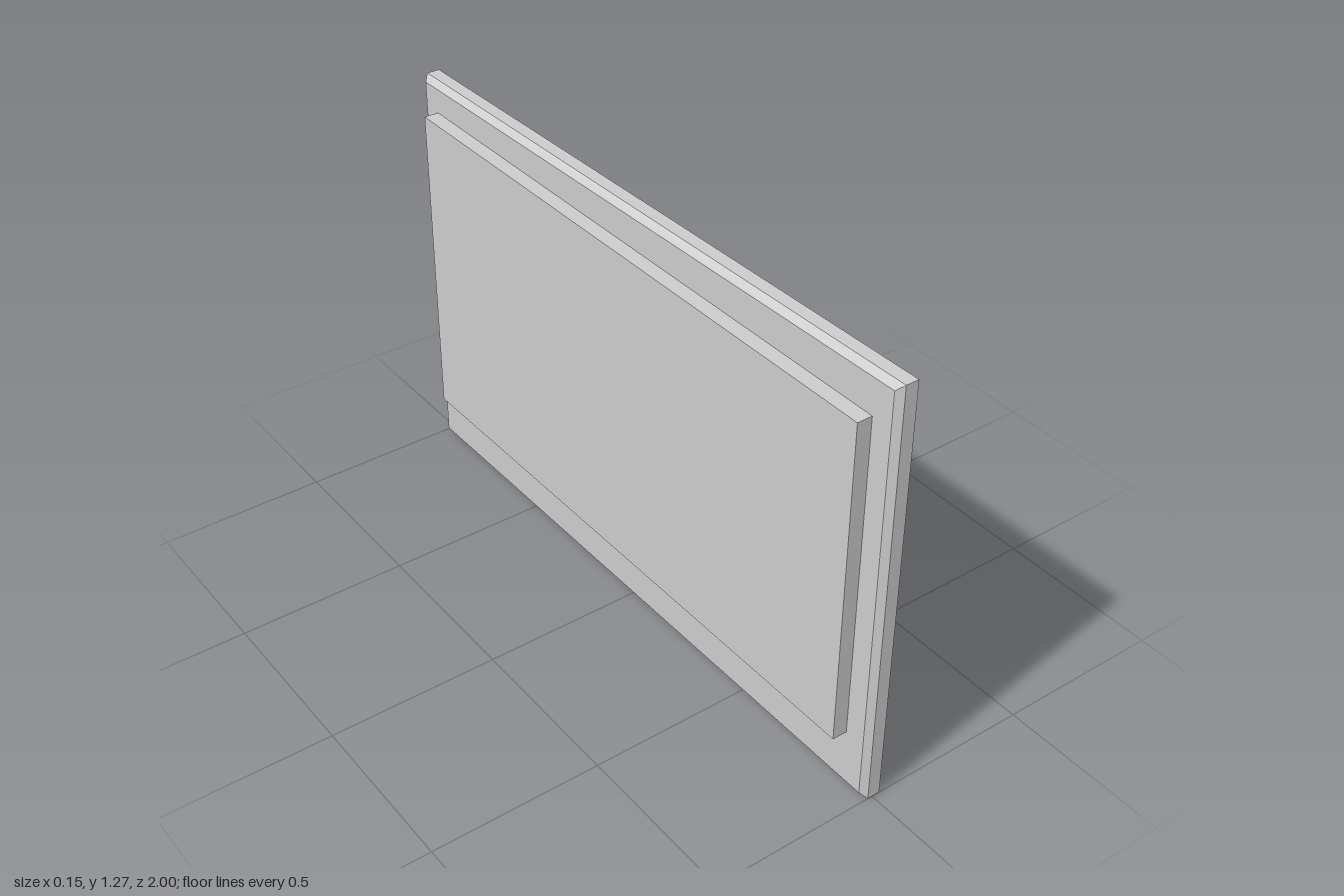
import * as THREE from 'three';
import { RoundedBoxGeometry } from 'three/addons/geometries/RoundedBoxGeometry.js';

const flat = new THREE.MeshStandardMaterial({ color: 0xcccccc, flatShading: true });
const smooth = new THREE.MeshStandardMaterial({ color: 0xcccccc });

function addPart(group, name, geometry, material, x, y, z) {
  const mesh = new THREE.Mesh(geometry, material);
  mesh.name = name;
  mesh.position.set(x, y, z);
  group.add(mesh);
}

export function createModel() {
  const group = new THREE.Group();
  group.name = 'doorPanel';

  // Main slab: side outline with a sloping top, chamfered on both faces
  const b = 0.017, xMin = -0.031, xMax = 0.041;
  const outline = new THREE.Shape([
    new THREE.Vector2(-1 + b, b),
    new THREE.Vector2(1 - b, b),
    new THREE.Vector2(1 - b, 1.24 - b),
    new THREE.Vector2(-1 + b, 1.27 - b),
  ]);
  const slab = new THREE.ExtrudeGeometry(outline, {
    depth: xMax - xMin - 2 * b,
    bevelEnabled: true, bevelSize: b, bevelThickness: b, bevelSegments: 1,
  });
  slab.rotateY(Math.PI / 2);
  addPart(group, 'slab', slab, flat, xMin + b, 0, 0);

  // Raised lining on the inner face, slightly sunk into the slab
  addPart(group, 'innerLining', new THREE.BoxGeometry(0.05, 0.97, 1.845), flat, -0.05, 0.665, -0.002);

  // Pull handle on the outer face
  addPart(group, 'handle', new RoundedBoxGeometry(0.034, 0.043, 0.208, 3, 0.011), smooth, 0.053, 1.124, 0.735);

  return group;
}
